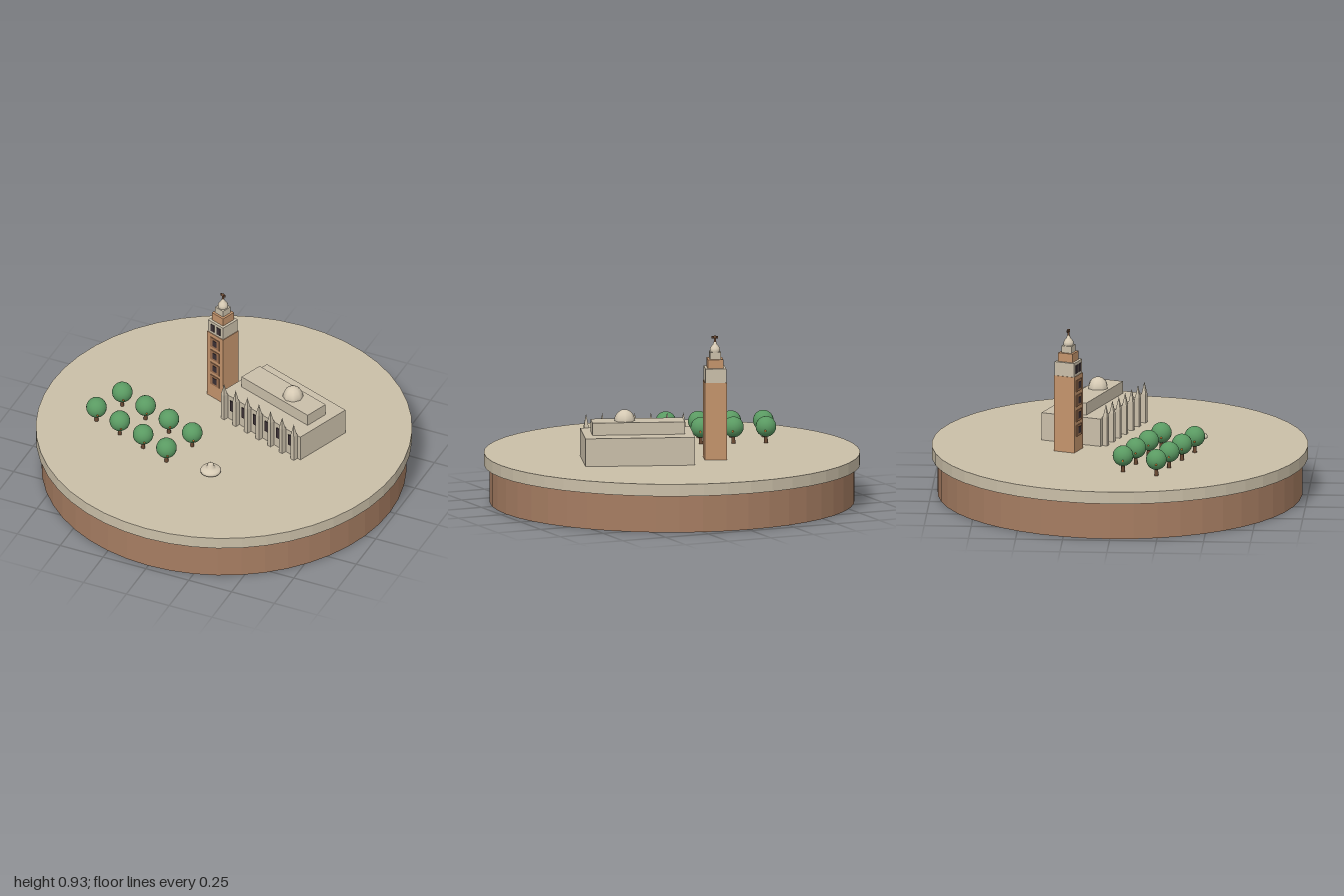
import * as THREE from 'three';

const mat = (name, color, flatShading = false) => {
  const m = new THREE.MeshStandardMaterial({ color, flatShading });
  m.name = name;
  return m;
};

export function createModel() {
  const earth = mat('earth', 0xa67d62, true);
  const paving = mat('paving', 0xcabfa8, true);
  const stone = mat('stone', 0xcabfaa, true);
  const paleStone = mat('paleStone', 0xd6cab4);
  const brick = mat('brick', 0xc4946c, true);
  const darkBrick = mat('darkBrick', 0x9c7050, true);
  const glass = mat('glass', 0x3a2f33, true);
  const bark = mat('bark', 0x6b4a33);
  const leaves = mat('leaves', 0x5a9a62);
  const fruit = mat('fruit', 0xd9893a);

  const root = new THREE.Group();
  const group = (name, x, z, turned, parent = root) => {
    const g = new THREE.Group();
    g.name = name;
    g.position.set(x, GROUND, z);
    if (turned) g.rotation.y = -THREE.MathUtils.degToRad(20);
    parent.add(g);
    return g;
  };
  const add = (parent, name, geo, material, x = 0, y = 0, z = 0) => {
    const m = new THREE.Mesh(geo, material);
    m.name = name;
    m.position.set(x, y, z);
    parent.add(m);
    return m;
  };
  // Box standing on its own base height
  const block = (parent, name, w, h, d, material, x, y, z) =>
    add(parent, name, new THREE.BoxGeometry(w, h, d), material, x, y + h / 2, z);
  const lathe = (points, sides) =>
    new THREE.LatheGeometry(points.map(p => new THREE.Vector2(...p)), sides);

  // Round plinth
  const GROUND = 0.265;
  add(root, 'earthBase', new THREE.CylinderGeometry(0.97, 0.97, 0.2, 48), earth, 0, 0.1, 0);
  add(root, 'pavedTop', new THREE.CylinderGeometry(1, 1, 0.065, 48), paving, 0, 0.2325, 0);

  // Church: aisles, raised nave and dome
  const church = group('church', 0.275, -0.16, true);
  block(church, 'aisles', 0.585, 0.15, 0.342, stone, 0, 0, 0);
  block(church, 'nave', 0.492, 0.066, 0.136, stone, 0, 0.15, 0);
  add(church, 'dome', new THREE.SphereGeometry(0.055, 8, 5, 0, Math.PI * 2, 0, Math.PI / 2),
    paleStone, 0.07, 0.216, 0).scale.y = 1.1;

  // Buttresses with pinnacles, windows between them
  for (let i = 0; i < 7; i++) {
    const x = (i - 3) * 0.0864;
    block(church, 'buttress', 0.024, 0.157, 0.03, stone, x, 0, 0.184);
    const spire = add(church, 'pinnacle', new THREE.ConeGeometry(0.017, 0.068, 4), stone, x, 0.191, 0.187);
    spire.rotation.y = Math.PI / 4;
    if (i < 6) block(church, 'churchWindow', 0.024, 0.064, 0.008, glass, x + 0.0432, 0.06, 0.172);
  }

  // Bell tower in receding stages
  const tower = group('bellTower', -0.128, -0.267, true);
  block(tower, 'shaft', 0.118, 0.415, 0.118, brick, 0, 0, 0);
  block(tower, 'belfry', 0.111, 0.075, 0.111, stone, 0, 0.415, 0);
  block(tower, 'upperStage', 0.083, 0.047, 0.083, brick, 0, 0.49, 0);
  block(tower, 'lanternStage', 0.058, 0.037, 0.058, stone, 0, 0.537, 0);
  for (const y of [0.115, 0.196, 0.279, 0.361]) {
    block(tower, 'windowFrame', 0.066, 0.062, 0.006, darkBrick, 0, y - 0.031, 0.06);
    block(tower, 'shaftWindow', 0.03, 0.036, 0.006, glass, 0, y - 0.018, 0.062);
  }
  for (const x of [-0.022, 0.022])
    block(tower, 'belfryOpening', 0.026, 0.045, 0.006, glass, x, 0.429, 0.055);
  add(tower, 'cupola', lathe([[0.025, 0], [0.028, 0.01], [0.026, 0.02], [0.019, 0.032],
    [0.011, 0.041], [0.007, 0.054], [0, 0.058]], 12), paleStone, 0, 0.573, 0);

  // Weather vane figure
  add(tower, 'vanePole', new THREE.CylinderGeometry(0.006, 0.006, 0.028, 8), bark, 0, 0.636, 0);
  add(tower, 'vaneHead', new THREE.SphereGeometry(0.009, 8, 6), bark, 0, 0.652, 0);
  block(tower, 'vaneBlade', 0.034, 0.012, 0.006, bark, 0, 0.645, 0);

  // Orchard: two rows of four trees
  const crown = new THREE.SphereGeometry(0.055, 20, 14);
  const trunk = new THREE.CylinderGeometry(0.009, 0.011, 0.05, 8);
  const orange = new THREE.SphereGeometry(0.006, 6, 5);
  for (let row = 0; row < 2; row++) {
    for (let i = 0; i < 4; i++) {
      const tree = group('orangeTree', -0.572 + i * 0.163 - row * 0.068, 0.048 + i * 0.059 + row * 0.181, false);
      add(tree, 'trunk', trunk, bark, 0, 0.025, 0);
      add(tree, 'crown', crown, leaves, 0, 0.088, 0);
      for (let k = 0; k < 3; k++) {
        const a = 0.55 + k * Math.PI * 2 / 3;
        add(tree, 'orange', orange, fruit, Math.sin(a) * 0.052, 0.072, Math.cos(a) * 0.052);
      }
    }
  }

  // Fountain
  const fountain = group('fountain', 0.107, 0.405, false);
  add(fountain, 'fountainBowl', lathe([[0, 0], [0.036, 0], [0.04, 0.008], [0.054, 0.013], [0.056, 0.022],
    [0.05, 0.03], [0.03, 0.035], [0.02, 0.041], [0.017, 0.06], [0.01, 0.067], [0, 0.069]], 20), paleStone);

  return root;
}
